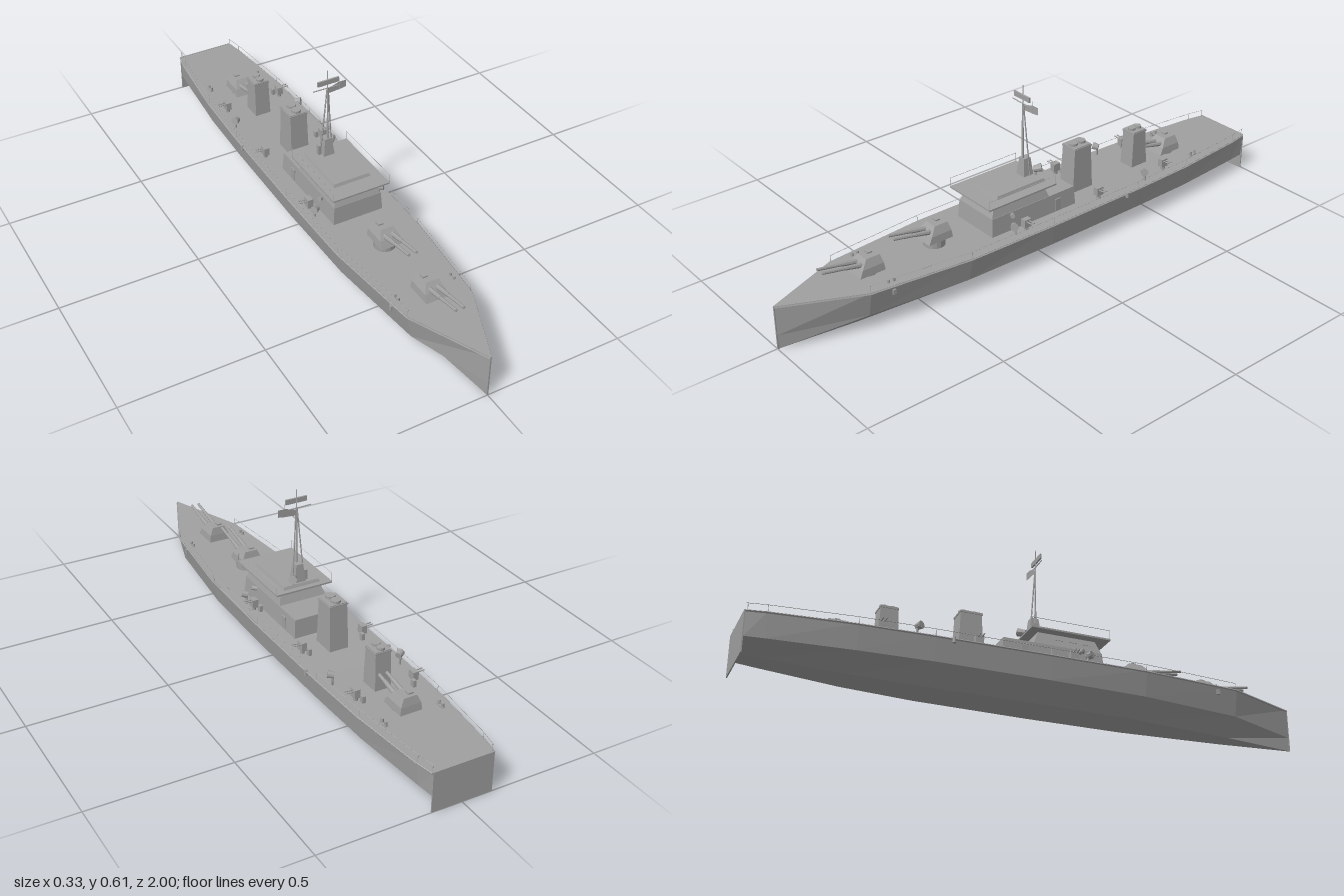
import * as THREE from 'three';

export function createModel() {
  const ship = new THREE.Group();
  ship.name = 'warship';
  const grey = new THREE.MeshStandardMaterial({ color: 0xa0a0a0, flatShading: true, side: THREE.DoubleSide });
  grey.name = 'naval grey';

  const add = (name, geo, x = 0, y = 0, z = 0, parent = ship) => {
    const m = new THREE.Mesh(geo, grey);
    m.name = name;
    m.position.set(x, y, z);
    parent.add(m);
    return m;
  };
  const group = (name, x, y, z) => {
    const g = new THREE.Group();
    g.name = name;
    g.position.set(x, y, z);
    ship.add(g);
    return g;
  };
  const box = (name, w, h, d, x, y, z, parent) => add(name, new THREE.BoxGeometry(w, h, d), x, y, z, parent);
  const drum = (name, r, h, x, y, z, parent, n = 10) => add(name, new THREE.CylinderGeometry(r, r, h, n), x, y, z, parent);
  // Box standing on y, narrowing to w1 x d1 at the top, which is shifted by dz
  const tapered = (name, w0, d0, w1, d1, h, x, y, z, dz = 0, parent = ship) => {
    const g = new THREE.BoxGeometry(1, h, 1).translate(0, h / 2, 0);
    const p = g.attributes.position;
    for (let i = 0; i < p.count; i++) {
      const top = p.getY(i) > h / 2;
      p.setX(i, p.getX(i) * (top ? w1 : w0));
      p.setZ(i, p.getZ(i) * (top ? d1 : d0) + (top ? dz : 0));
    }
    g.computeVertexNormals();
    return add(name, g, x, y, z, parent);
  };
  // Thin rod between two points
  const rod = (name, a, b, r, parent = ship, n = 5, r1 = r) => {
    const va = new THREE.Vector3(...a), vb = new THREE.Vector3(...b);
    const dir = vb.clone().sub(va);
    const m = add(name, new THREE.CylinderGeometry(r1, r, dir.length(), n), 0, 0, 0, parent);
    m.position.copy(va).add(vb).multiplyScalar(0.5);
    m.quaternion.setFromUnitVectors(new THREE.Vector3(0, 1, 0), dir.normalize());
    return m;
  };

  // Hull stations: z, deck half width, deck y, chine half width, chine y, bottom half width, bottom y
  const stations = [
    [0.998, 0.002, 0.158, 0.002, 0.05, 0.001, 0],
    [0.72, 0.12, 0.15, 0.1, 0.056, 0.035, 0],
    [0.35, 0.157, 0.145, 0.14, 0.057, 0.065, 0],
    [0, 0.16, 0.143, 0.146, 0.057, 0.07, 0],
    [-0.4, 0.157, 0.142, 0.143, 0.057, 0.065, 0],
    [-0.65, 0.148, 0.142, 0.135, 0.055, 0.055, 0.005],
    [-0.93, 0.121, 0.142, 0.112, 0.055, 0.04, 0.02],
    [-0.996, 0.109, 0.142, 0.105, 0.055, 0.035, 0.025],
  ];
  const rings = stations.map(([z, d, dy, c, cy, b, by]) =>
    [[-d, dy, z], [d, dy, z], [c, cy, z], [b, by, z], [-b, by, z], [-c, cy, z]]);
  const pos = [];
  for (let s = 0; s < rings.length - 1; s++) {
    for (let i = 0; i < 6; i++) {
      const j = (i + 1) % 6, A = rings[s], B = rings[s + 1];
      pos.push(...A[i], ...A[j], ...B[i], ...A[j], ...B[j], ...B[i]);
    }
  }
  const hull = new THREE.BufferGeometry();
  hull.setAttribute('position', new THREE.Float32BufferAttribute(pos, 3));
  hull.computeVertexNormals();
  add('hull', hull);
  box('transom', 0.217, 0.143, 0.004, 0, 0.0715, -0.998);
  box('stem', 0.005, 0.158, 0.006, 0, 0.079, 0.997);

  // Deck edge lips and guard rails
  for (const s of [-1, 1]) {
    for (let i = 0; i < stations.length - 1; i++) {
      const [z0, x0, y0] = stations[i], [z1, x1, y1] = stations[i + 1];
      rod('deckLip', [s * x0, y0 - 0.004, z0], [s * x1, y1 - 0.004, z1], 0.0035, ship, 4);
      if (i === 0) continue;
      rod('railWire', [s * (x0 - 0.004), y0 + 0.024, z0], [s * (x1 - 0.004), y1 + 0.024, z1], 0.0009, ship, 4);
      rod('railPost', [s * (x0 - 0.004), y0, z0], [s * (x0 - 0.004), y0 + 0.024, z0], 0.001, ship, 4);
    }
    rod('sternPost', [s * 0.105, 0.142, -0.99], [s * 0.105, 0.166, -0.99], 0.001, ship, 4);
    box('anchor', 0.006, 0.018, 0.012, s * 0.128, 0.125, 0.64);
    drum('sideFender', 0.006, 0.02, s * 0.159, 0.135, -0.34);
  }

  // Deckhouse and bridge
  tapered('deckhouse', 0.19, 0.37, 0.18, 0.36, 0.07, 0, 0.14, 0.035);
  tapered('bridge', 0.178, 0.25, 0.15, 0.21, 0.05, 0, 0.208, 0.09);
  for (const x of [-0.057, -0.02, 0.02, 0.057]) {
    const w = box('bridgeWindow', 0.03, 0.014, 0.003, x, 0.242, 0.2015);
    w.rotation.x = -0.38;
  }
  for (const s of [-1, 1]) {
    for (const z of [0.16, 0.11, 0.06]) {
      const w = box('sideWindow', 0.003, 0.014, 0.03, s * 0.0795, 0.242, z);
      w.rotation.z = s * 0.27;
    }
    box('houseDoor', 0.004, 0.045, 0.025, s * 0.094, 0.168, -0.07);
  }
  box('bridgeRoof', 0.216, 0.006, 0.29, 0, 0.26, 0.095);
  tapered('roofHouse', 0.142, 0.21, 0.134, 0.2, 0.012, 0, 0.262, 0.073);
  for (const s of [-1, 1]) {
    for (const z of [0.238, -0.048]) rod('roofPost', [s * 0.107, 0.262, z], [s * 0.107, 0.295, z], 0.001, ship, 4);
    rod('roofRail', [s * 0.107, 0.294, 0.238], [s * 0.107, 0.294, -0.048], 0.0009, ship, 4);
  }

  // Mast with legs, yard, radar and flag
  tapered('mastBase', 0.042, 0.042, 0.026, 0.028, 0.066, 0, 0.272, 0);
  rod('mastPole', [0, 0.33, 0.008], [0, 0.61, 0.008], 0.0035, ship, 6, 0.0015);
  for (const s of [-1, 1]) rod('mastLeg', [s * 0.022, 0.275, -0.004], [s * 0.002, 0.54, 0.008], 0.0025);
  rod('yard', [-0.055, 0.543, 0.008], [0.04, 0.541, 0.008], 0.002);
  box('radar', 0.08, 0.018, 0.006, 0, 0.569, 0.012);
  const flagShape = new THREE.Shape([[0.004, 0.517], [0.055, 0.521], [0.072, 0.524], [0.072, 0.55], [0.045, 0.55], [0.004, 0.537]].map(p => new THREE.Vector2(...p)));
  add('flag', new THREE.ShapeGeometry(flagShape), 0, 0, 0.004);
  rod('flagHalyard', [0.048, 0.52, 0.006], [0.048, 0.567, 0.006], 0.0008, ship, 4);
  rod('searchlight', [0.024, 0.295, -0.018], [0.042, 0.302, -0.04], 0.011, ship, 10, 0.015);
  rod('searchlightStand', [0.03, 0.272, -0.022], [0.03, 0.298, -0.022], 0.004);
  box('signalLamp', 0.012, 0.036, 0.014, -0.026, 0.292, -0.005);

  // Funnels with twin caps
  for (const [z, w, d, h] of [[-0.238, 0.07, 0.09, 0.172], [-0.52, 0.06, 0.072, 0.14]]) {
    const f = group('funnel', 0, 0.14, z);
    tapered('funnelCasing', w, d, w * 0.92, d * 0.82, h, 0, 0, 0, 0, f);
    box('funnelRim', w, 0.006, d * 0.88, 0, h - 0.006, 0, f);
    for (const s of [-1, 1]) drum('funnelPipe', d * 0.19, 0.01, 0, h + 0.004, s * d * 0.2, f, 12);
  }

  // Twin gun turrets
  for (const [y, z] of [[0.148, 0.66], [0.166, 0.39], [0.142, -0.67]]) {
    const t = group('turret', 0, y, z);
    drum('turretRing', 0.038, 0.028, 0, -0.006, 0, t, 16);
    tapered('turretShield', 0.08, 0.096, 0.074, 0.08, 0.026, 0, 0.006, 0, -0.005, t);
    tapered('turretTop', 0.074, 0.08, 0.048, 0.052, 0.028, 0, 0.032, -0.005, -0.008, t);
    box('turretHatch', 0.02, 0.006, 0.018, -0.01, 0.062, -0.018, t);
    for (const s of [-1, 1]) {
      rod('gunSleeve', [s * 0.014, 0.038, 0.02], [s * 0.014, 0.051, 0.085], 0.009, t, 8, 0.007);
      rod('gunBarrel', [s * 0.014, 0.05, 0.08], [s * 0.014, 0.067, 0.17], 0.006, t, 8, 0.005);
    }
  }

  // Deck fittings on both sides
  for (const s of [-1, 1]) {
    for (const [x, z] of [[0.122, 0.095], [0.116, -0.24], [0.108, -0.565]]) {
      const a = group('lightGun', s * x, 0.142, z);
      drum('gunPedestal', 0.008, 0.03, 0, 0.014, 0, a, 8);
      box('gunShield', 0.02, 0.03, 0.028, 0, 0.028, 0, a);
      for (const k of [-1, 1]) rod('lightBarrel', [0, 0.036, k * 0.006], [s * 0.036, 0.038, k * 0.006], 0.0025, a);
      box('ammunitionBox', 0.012, 0.024, 0.016, -s * 0.014, 0.012, -0.022, a);
    }
    for (const [x, z] of [[0.126, 0.145], [0.128, -0.455]]) {
      drum('lampPost', 0.004, 0.036, s * x, 0.158, z, ship, 6);
      rod('deckLamp', [s * (x - 0.008), 0.176, z], [s * (x + 0.01), 0.18, z + 0.012], 0.011, ship, 10, 0.014);
    }
    rod('wingLamp', [s * 0.09, 0.2, 0.13], [s * 0.106, 0.203, 0.14], 0.008, ship, 10);
    for (const z of [0.635, -0.725]) {
      box('bollardBase', 0.014, 0.003, 0.032, s * 0.104, 0.147, z);
      for (const k of [-1, 1]) drum('bollard', 0.005, 0.016, s * 0.104, 0.153, z + k * 0.01, ship, 8);
    }
  }
  return ship;
}
